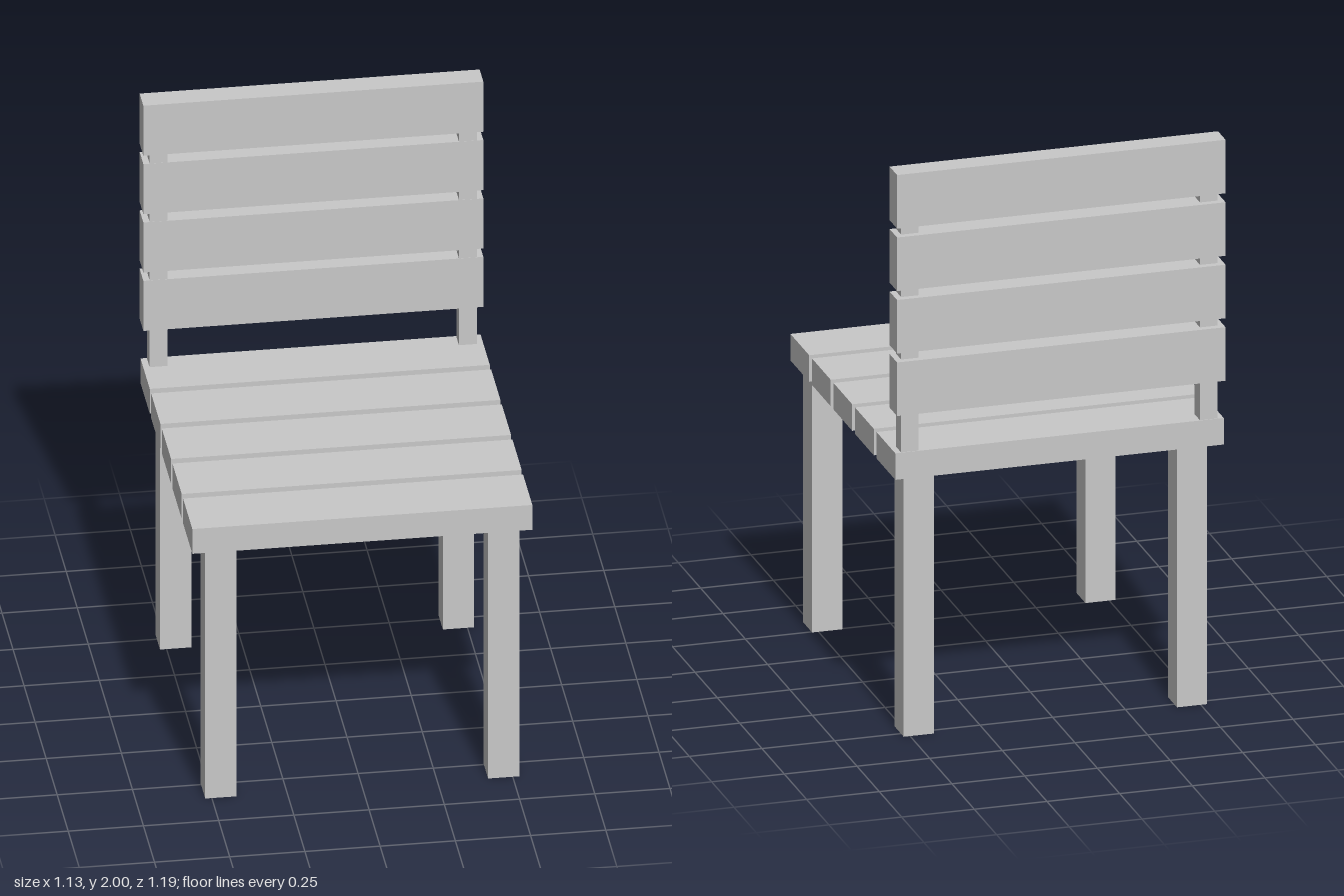
import * as THREE from 'three';

export function createModel() {
  const group = new THREE.Group();
  group.name = 'slattedChair';
  const lightGrey = new THREE.MeshStandardMaterial({ color: 0xc8c8c8 });
  lightGrey.name = 'lightGrey';

  // Box placed by the centre of its base
  function block(name, width, height, depth, x, bottom, z) {
    const mesh = new THREE.Mesh(new THREE.BoxGeometry(width, height, depth), lightGrey);
    mesh.name = name;
    mesh.position.set(x, bottom + height / 2, z);
    group.add(mesh);
  }

  const chairWidth = 1.13;
  const seatBottom = 0.923;
  const seatThickness = 0.093;
  const seatTop = seatBottom + seatThickness;

  // Seat slats, front to back
  for (let i = 0; i < 5; i++) {
    block(`seatSlat${i + 1}`, chairWidth, seatThickness, 0.21, 0, seatBottom, 0.492 - i * 0.241);
  }

  // Backrest slats, bottom to top
  for (let i = 0; i < 4; i++) {
    block(`backSlat${i + 1}`, chairWidth, 0.188, 0.084, 0, 1.154 + i * 0.2193, -0.555);
  }

  // Legs and backrest posts, mirrored left and right
  for (const [side, label] of [[1, 'left'], [-1, 'right']]) {
    block(`${label}FrontLeg`, 0.104, seatBottom, 0.102, side * 0.47, 0, 0.545);
    block(`${label}BackLeg`, 0.104, seatBottom, 0.102, side * 0.47, 0, -0.48);
    // Post stops inside the top slat, its front just behind the slat fronts
    block(`${label}BackPost`, 0.06, 1.9 - seatTop, 0.06, side * 0.514, seatTop, -0.544);
  }

  return group;
}
